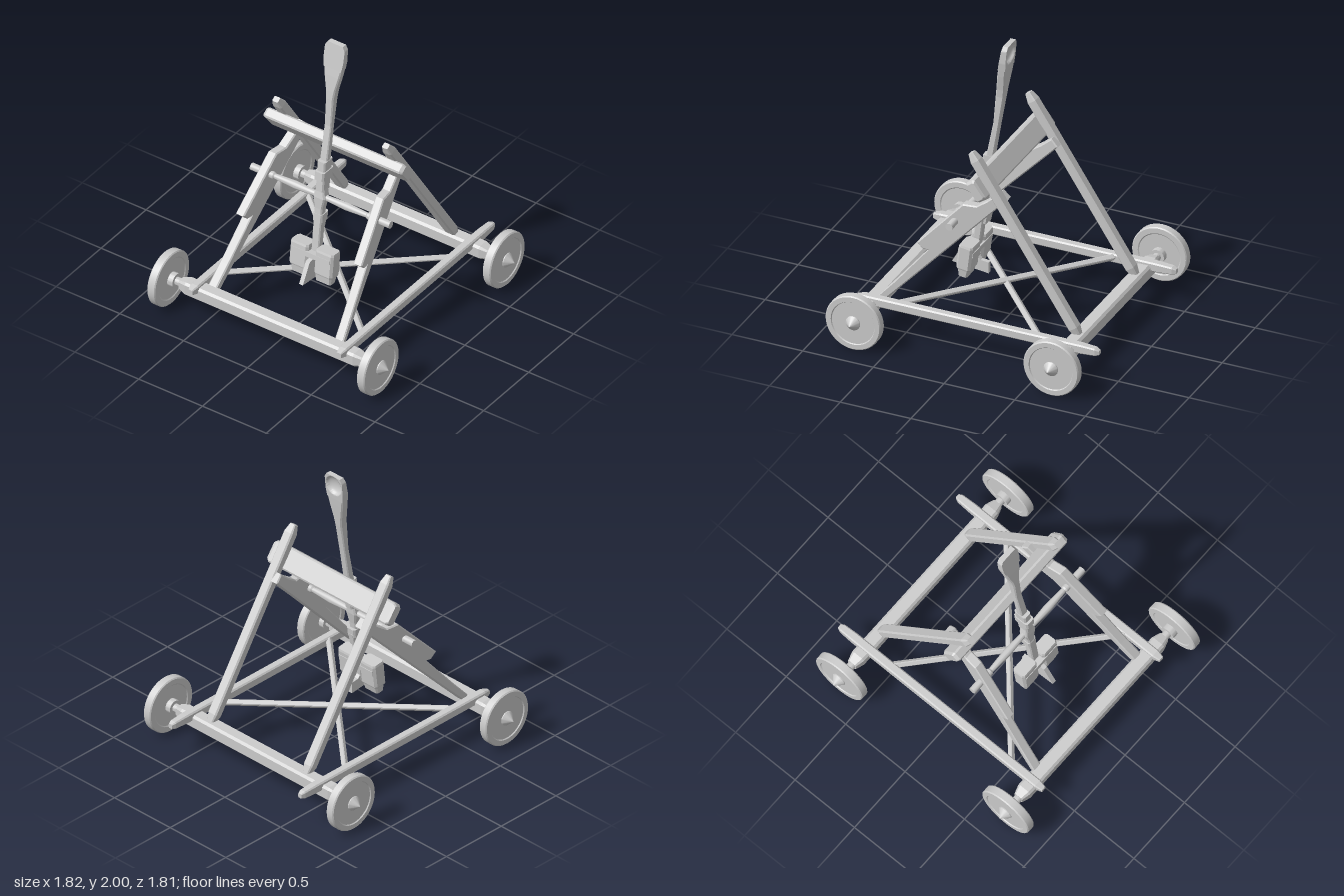
import * as THREE from 'three';
import { toCreasedNormals } from 'three/addons/utils/BufferGeometryUtils.js';

const wood = new THREE.MeshStandardMaterial({ color: 0xcccccc, flatShading: true });
const smooth = new THREE.MeshStandardMaterial({ color: 0xcccccc });
const UP = new THREE.Vector3(0, 1, 0);

// Bevelled beam along y; sections are [y, centreX, halfX, halfZ]
function loft(sections) {
  const pos = [], index = [], n = 8, last = (sections.length - 1) * n;
  for (const [y, cx, hx, hz] of sections) {
    const c = Math.min(hx, hz) * 0.3;
    for (const [x, z] of [
      [hx, -hz + c], [hx, hz - c], [hx - c, hz], [-hx + c, hz],
      [-hx, hz - c], [-hx, -hz + c], [-hx + c, -hz], [hx - c, -hz],
    ]) pos.push(cx + x, y, z);
  }
  for (let j = 0; j < last; j += n) {
    for (let i = 0; i < n; i++) {
      const k = (i + 1) % n;
      index.push(j + i, j + n + i, j + k, j + n + i, j + n + k, j + k);
    }
  }
  for (let k = 1; k < n - 1; k++) index.push(0, k, k + 1, last, last + k + 1, last + k);
  const g = new THREE.BufferGeometry();
  g.setAttribute('position', new THREE.Float32BufferAttribute(pos, 3));
  g.setIndex(index);
  g.computeVertexNormals();
  return g;
}

function add(parent, name, geometry, material = wood) {
  const mesh = new THREE.Mesh(geometry, material);
  mesh.name = name;
  parent.add(mesh);
  return mesh;
}

// Beam between two points, with ends narrowed over a given length
function beam(parent, name, from, to, hx, hz, taper = 0.02, end = 0.7) {
  const a = new THREE.Vector3(...from), d = new THREE.Vector3(...to).sub(a), l = d.length();
  const mesh = add(parent, name, loft([
    [0, 0, hx * end, hz * end], [taper, 0, hx, hz],
    [l - taper, 0, hx, hz], [l, 0, hx * end, hz * end],
  ]));
  mesh.position.copy(a);
  mesh.quaternion.setFromUnitVectors(UP, d.normalize());
  return mesh;
}

function lathe(points, segments = 40) {
  return toCreasedNormals(
    new THREE.LatheGeometry(points.map(p => new THREE.Vector2(...p)), segments), 0.5);
}

function rearBrace(side) {
  const shape = new THREE.Shape([
    [-0.645, 0.22], [0.172, 1.09], [0.125, 1.14], [0.04, 1.066], [-0.034, 1.013], [-0.125, 1.013],
    [-0.432, 0.68], [-0.39, 0.637], [-0.355, 0.64], [-0.575, 0.375], [-0.71, 0.22],
  ].map(p => new THREE.Vector2(...p)));
  const g = new THREE.ExtrudeGeometry(shape, {
    depth: 0.05, bevelSize: 0.008, bevelOffset: -0.008, bevelThickness: 0.008, bevelSegments: 1,
  });
  // Lean the brace inward as it rises
  const p = g.attributes.position;
  for (let i = 0; i < p.count; i++) {
    p.setZ(i, p.getZ(i) - 0.025 + side * (0.5 - (p.getX(i) + 0.71) * 0.136));
  }
  g.computeVertexNormals();
  return g;
}

// Spoon-shaped tip with a dished face towards +x
function spoonHead() {
  const g = new THREE.BoxGeometry(1, 0.18, 2, 1, 24, 24);
  const p = g.attributes.position;
  for (let i = 0; i < p.count; i++) {
    const y = p.getY(i) + 1.91, t = (y - 1.82) / 0.18, front = p.getX(i) > 0;
    const half = y > 1.97 ? 0.077 - (y - 1.97) * 0.6 : 0.068 + 0.009 * Math.min(1, t * 3);
    const z = p.getZ(i) * half;
    const r = Math.hypot(y - 1.925, z) / 0.068;
    const dish = front && r < 1 ? 0.034 * Math.sqrt(1 - r * r) : 0;
    p.setXYZ(i, -0.03 + 0.025 * t + (front ? 1 : -1) * (0.027 - 0.009 * t) - dish, y, z);
  }
  g.computeVertexNormals();
  return g;
}

export function createModel() {
  const root = new THREE.Group();
  root.name = 'catapult';

  // Axle beams with a wheel at each end
  const wheelProfile = [
    [0, 0.695], [0.028, 0.695], [0.028, 0.755], [0.05, 0.755], [0.05, 0.795], [0.145, 0.795],
    [0.152, 0.79], [0.188, 0.79], [0.195, 0.797], [0.195, 0.845], [0.188, 0.853],
    [0.155, 0.853], [0.15, 0.846], [0.05, 0.846], [0.05, 0.852], [0, 0.907],
  ];
  for (const x of [-0.715, 0.685]) {
    beam(root, 'axleBeam', [x, 0.2, -0.72], [x, 0.2, 0.72], 0.05, 0.05, 0.06, 0.65);
    for (const s of [-1, 1]) {
      const wheel = add(root, 'wheel', lathe(wheelProfile), smooth);
      wheel.position.set(x, 0.2, 0);
      wheel.rotation.x = s * Math.PI / 2;
    }
  }

  for (const s of [-1, 1]) {
    // Side rail with a drooping tip
    const rail = add(root, 'sideRail', loft([
      [-0.81, 0, 0.018, 0.018], [-0.76, 0, 0.032, 0.03], [0.78, 0, 0.032, 0.03],
      [0.88, 0, 0.026, 0.026], [0.907, 0.002, 0.016, 0.015],
    ]));
    rail.position.set(0, 0.24, s * 0.582);
    rail.rotation.z = -Math.PI / 2;

    // Upright frame
    beam(root, 'frontLeg', [0.69, 0.235, s * 0.43], [-0.07, 1.4, s * 0.43], 0.032, 0.037, 0.06, 0.6);
    add(root, 'rearBrace', rearBrace(s));

    // Crossed floor stay
    beam(root, 'floorStay', [-0.53, 0.24 + s * 0.008, s * 0.57], [0.48, 0.24 + s * 0.008, -s * 0.57], 0.018, 0.018);
  }

  // Padded stop beam across the legs
  const stop = beam(root, 'stopBeam', [0.005, 1.18, -0.545], [0.005, 1.18, 0.545], 0.036, 0.077, 0.02, 0.8);
  stop.rotateOnWorldAxis(new THREE.Vector3(0, 0, 1), 0.64);

  // Pivot rod
  const rod = add(root, 'pivotRod', lathe([
    [0, -0.545], [0.025, -0.545], [0.025, -0.37], [0.018, -0.36], [0.027, -0.2], [0.02, -0.06],
    [0.02, 0.06], [0.027, 0.2], [0.018, 0.36], [0.025, 0.37], [0.025, 0.545], [0, 0.545],
  ], 20), smooth);
  rod.position.set(-0.178, 0.88, 0);
  rod.rotation.x = Math.PI / 2;

  // Throwing arm
  const arm = new THREE.Group();
  arm.name = 'throwingArm';
  root.add(arm);
  add(arm, 'armShaft', loft([
    [0.33, -0.25, 0.022, 0.022], [0.53, -0.222, 0.026, 0.03], [0.8, -0.188, 0.028, 0.03],
    [0.88, -0.178, 0.034, 0.046], [0.95, -0.168, 0.028, 0.03], [1.4, -0.088, 0.021, 0.026],
    [1.6, -0.062, 0.03, 0.03], [1.66, -0.054, 0.03, 0.037], [1.77, -0.038, 0.029, 0.06],
    [1.82, -0.03, 0.027, 0.068],
  ]));
  add(arm, 'spoon', spoonHead(), smooth);
  add(arm, 'armSleeve', loft([[0.93, -0.165, 0.04, 0.031], [1.15, -0.135, 0.046, 0.031]]));
  add(arm, 'sleeveStrap', loft([[1.02, -0.155, 0.058, 0.037], [1.08, -0.147, 0.058, 0.037]]));
  add(arm, 'armClip', loft([[0.7, -0.19, 0.04, 0.036], [0.76, -0.183, 0.04, 0.036]]));
  add(arm, 'clipTail', loft([[0.635, -0.175, 0.013, 0.02], [0.72, -0.165, 0.02, 0.025]]));

  // Counterweight: two blocks, a strap and a tail beneath
  const weight = new THREE.Group();
  weight.name = 'counterweight';
  weight.position.set(-0.25, 0.435, 0);
  weight.rotation.z = -0.12;
  arm.add(weight);
  for (const s of [-1, 1]) {
    const block = add(weight, 'weightBlock', loft([
      [-0.09, 0, 0.046, 0.066], [-0.08, 0, 0.05, 0.07], [0.075, 0, 0.05, 0.07], [0.09, 0, 0.046, 0.066],
    ]));
    block.position.z = s * 0.098;
    const skirt = add(weight, 'weightSkirt', loft([[-0.145, 0, 0.03, 0.058], [-0.085, 0, 0.042, 0.066]]));
    skirt.position.z = s * 0.094;
  }
  add(weight, 'weightStrap', new THREE.BoxGeometry(0.108, 0.035, 0.3), wood).position.y = 0.03;
  const tail = new THREE.ExtrudeGeometry(new THREE.Shape([
    [-0.405, 0.305], [-0.145, 0.275], [-0.145, 0.355], [-0.2, 0.36], [-0.29, 0.45], [-0.33, 0.44],
  ].map(p => new THREE.Vector2(...p))), { depth: 0.03, bevelEnabled: false });
  add(arm, 'tailFin', tail.translate(0, 0, -0.015));

  return root;
}
